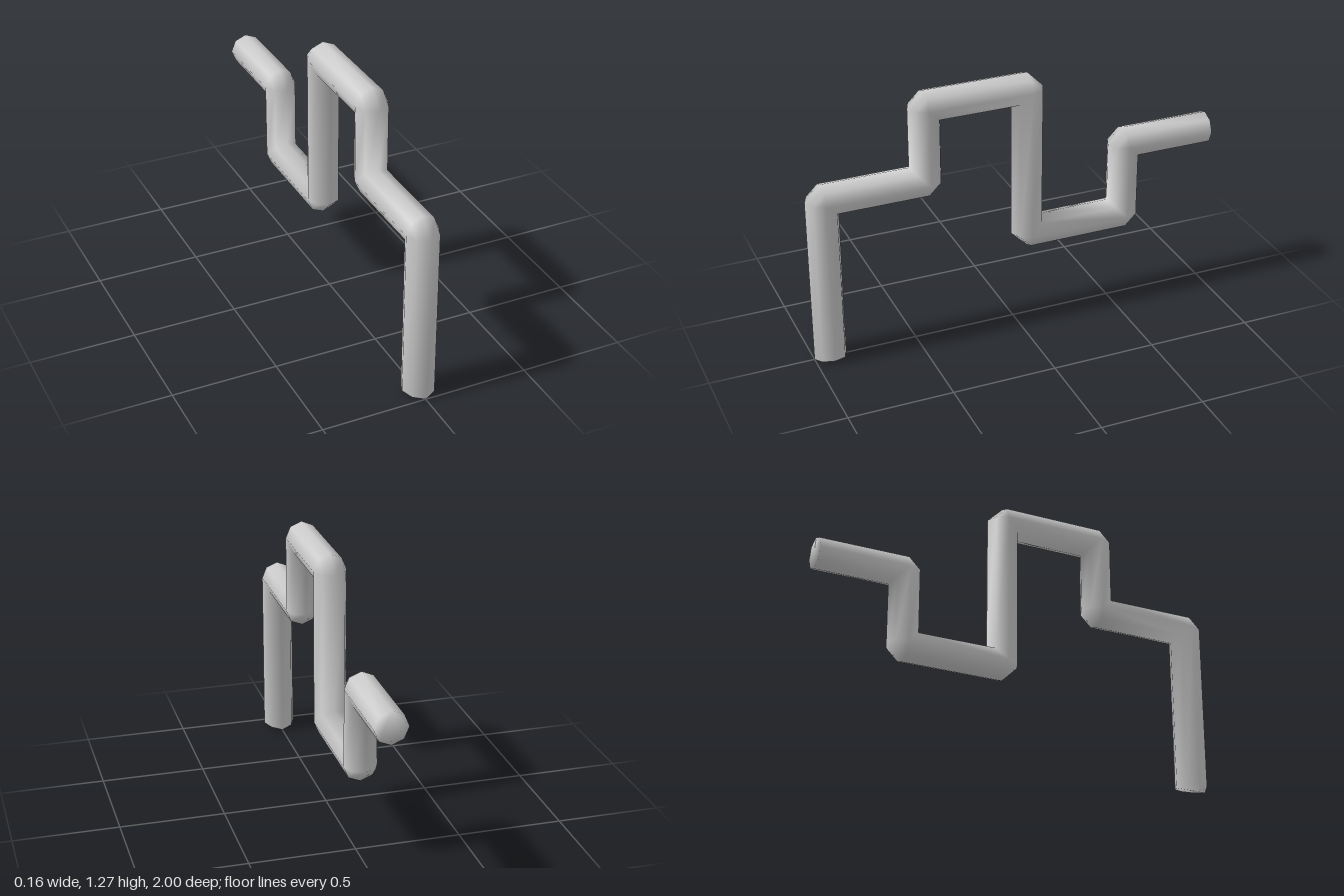
import * as THREE from 'three';
import { mergeVertices } from 'three/addons/utils/BufferGeometryUtils.js';

const RADIUS = 0.078, SIDES = 8, BOTTOM_RIDGE = 0.018;

// Centre line of the pipe in the x = 0 plane: [z, y]
const PATH = [
  [0.922, 0], [0.922, 0.827], [0.43, 0.827], [0.43, 1.197], [-0.07, 1.197],
  [-0.07, 0.455], [-0.565, 0.455], [-0.565, 0.827], [-1, 0.827],
].map(([z, y]) => new THREE.Vector3(0, y, z));

const X = new THREE.Vector3(1, 0, 0);

// Ring of points around p; offset(s) gives the in-plane shift for signed distance s
function ring(p, offset) {
  return Array.from({ length: SIDES }, (_, k) => {
    const a = (k / SIDES) * Math.PI * 2;
    return p.clone().addScaledVector(X, RADIUS * Math.cos(a)).add(offset(RADIUS * Math.sin(a)));
  });
}

// Octagonal pipe: bends are sharp on the inside and chamfered on the outside
function pipeGeometry() {
  const dirs = PATH.slice(1).map((p, i) => p.clone().sub(PATH[i]).normalize());
  const normals = dirs.map((d) => X.clone().cross(d));
  const along = (n) => (s) => n.clone().multiplyScalar(s);

  const rings = [ring(PATH[0], along(normals[0]))];
  rings[0].forEach((v) => { v.y += BOTTOM_RIDGE * Math.abs(v.x) / RADIUS; });
  for (let i = 1; i < dirs.length; i++) {
    const n0 = normals[i - 1], n1 = normals[i];
    const turn = n0.dot(dirs[i]);
    const mitre = n0.clone().add(n1);
    for (const n of [n0, n1]) {
      rings.push(ring(PATH[i], (s) => (s * turn > 0 ? mitre : n).clone().multiplyScalar(s)));
    }
  }
  rings.push(ring(PATH[PATH.length - 1], along(normals[normals.length - 1])));

  const positions = [];
  const triangle = (a, b, c) => {
    const area = b.clone().sub(a).cross(c.clone().sub(a)).length();
    if (area > 1e-8) for (const v of [a, b, c]) positions.push(v.x, v.y, v.z);
  };

  // Walls
  for (let i = 0; i < rings.length - 1; i++) {
    for (let k = 0; k < SIDES; k++) {
      const j = (k + 1) % SIDES;
      const a = rings[i][k], b = rings[i][j], c = rings[i + 1][j], d = rings[i + 1][k];
      triangle(a, d, b);
      triangle(b, d, c);
    }
  }

  // End caps, fanned from the vertex in the middle plane
  const first = rings[0], last = rings[rings.length - 1], hub = SIDES / 4;
  for (let k = 1; k < SIDES - 1; k++) {
    const m = (hub + k) % SIDES, n = (hub + k + 1) % SIDES;
    triangle(first[hub], first[m], first[n]);
    triangle(last[hub], last[n], last[m]);
  }

  const geometry = new THREE.BufferGeometry();
  geometry.setAttribute('position', new THREE.Float32BufferAttribute(positions, 3));
  const merged = mergeVertices(geometry, 1e-5);
  merged.computeVertexNormals();
  return merged;
}

export function createModel() {
  const group = new THREE.Group();
  group.name = 'bentPipe';
  const pipe = new THREE.Mesh(pipeGeometry(), new THREE.MeshStandardMaterial({ color: 0xcccccc }));
  pipe.name = 'pipe';
  group.add(pipe);
  return group;
}
